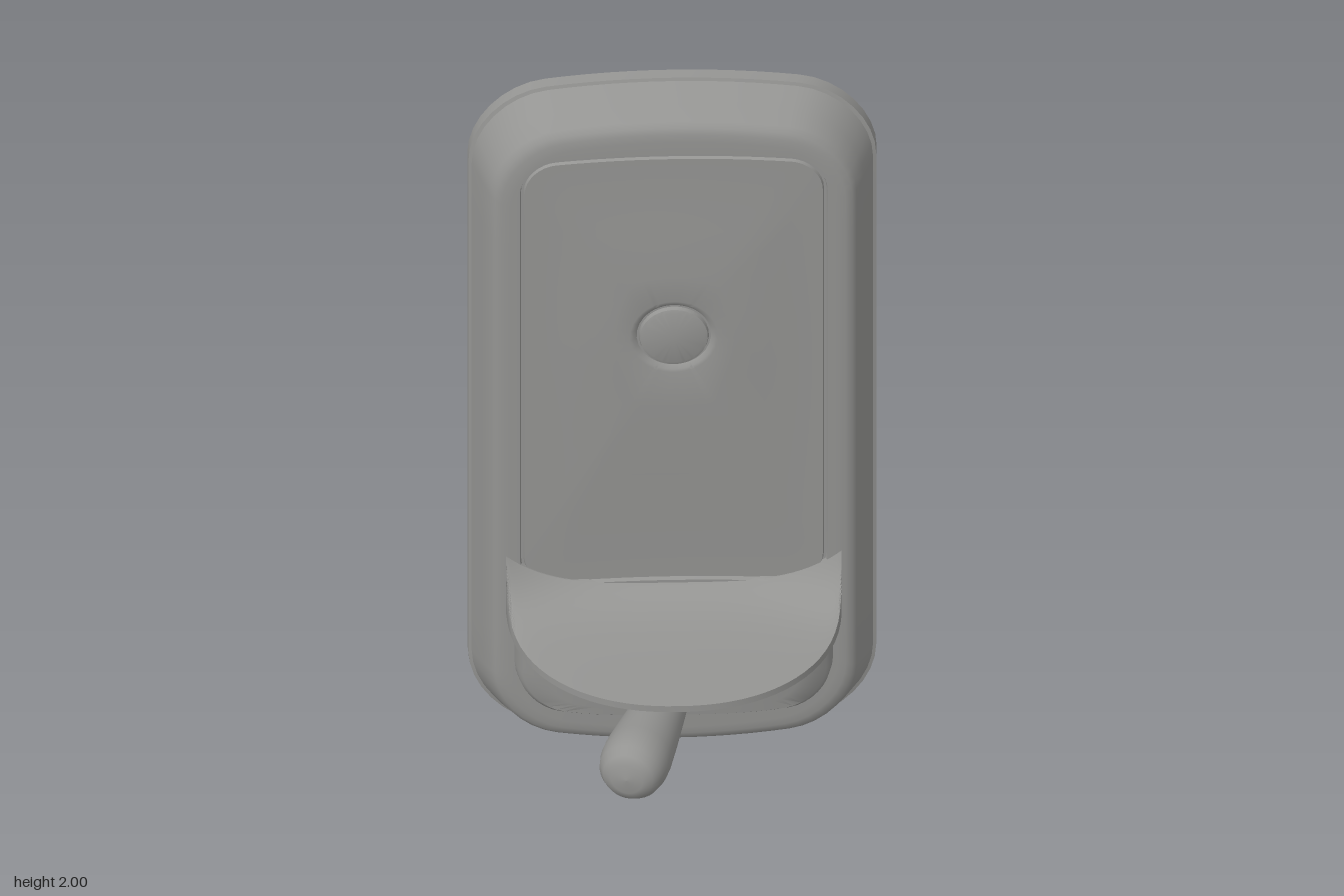
import * as THREE from 'three';
import { toCreasedNormals } from 'three/addons/utils/BufferGeometryUtils.js';

const grey = new THREE.MeshStandardMaterial({ color: 0x949492 });
const V = (x, y, z) => new THREE.Vector3(x, y, z);

// Skin closed rings of equal point count, counter-clockwise about the travel direction
function loft(rings, crease = 0.6) {
  const n = rings[0].length, pos = [], idx = [];
  rings.forEach(r => r.forEach(p => pos.push(p.x, p.y, p.z)));
  for (let j = 0; j < rings.length - 1; j++) {
    for (let i = 0; i < n; i++) {
      const k = (i + 1) % n, a = j * n, b = a + n;
      idx.push(a + i, a + k, b + k, a + i, b + k, b + i);
    }
  }
  const g = new THREE.BufferGeometry();
  g.setAttribute('position', new THREE.Float32BufferAttribute(pos, 3));
  g.setIndex(idx);
  return toCreasedNormals(g, crease);
}

// Rounded rectangle whose top and bottom edges bow outwards
function outline(w, h, r, bowTop, bowBottom, cy, z) {
  const base = [], pts = [];
  const corners = [[1, 1], [-1, 1], [-1, -1], [1, -1]];
  corners.forEach(([sx, sy], c) => {
    for (let i = 0; i <= 8; i++) {
      const a = (c + i / 8) * Math.PI / 2;
      base.push([sx * (w - r) + r * Math.cos(a), sy * (h - r) + r * Math.sin(a)]);
    }
  });
  base.forEach((p, i) => {
    pts.push(p);
    if (i % 9 === 8) {
      const q = base[(i + 1) % base.length];
      for (let k = 1; k < 12; k++) {
        pts.push([p[0] + (q[0] - p[0]) * k / 12, p[1] + (q[1] - p[1]) * k / 12]);
      }
    }
  });
  return pts.map(([x, y]) => {
    const bow = (y > 0 ? bowTop : -bowBottom) * Math.abs(y) / h * (1 - (x / w) ** 2);
    return V(x, cy + y + bow, z);
  });
}

function bodyGeometry() {
  const outer = (inset, z) =>
    outline(0.5 - inset, 0.945 - inset, 0.19 - inset * 0.5, 0.055, 0.055, 1, z);
  const panel = (inset, z) =>
    outline(0.376 - inset, 0.65 - inset, 0.09 - inset, 0.022, -0.018, 1.185, z);
  const edge = panel(0.012, -0.203);
  const circle = (r, z) => edge.map(p => {
    const a = Math.atan2(p.y - 1.31, p.x);
    return V(r * Math.cos(a), 1.31 + r * Math.sin(a), z);
  });
  const rings = [
    outer(0, -0.36).map(() => V(0, 1, -0.36)),
    outer(0, -0.36), outer(0.002, -0.33), outer(0.01, -0.327),
    outer(0.035, -0.262), outer(0.053, -0.22), outer(0.064, -0.207),
    outer(0.08, -0.202), outer(0.1, -0.2),
    panel(0, -0.2), panel(0.003, -0.211), panel(0.009, -0.211), edge,
  ];
  // gently domed panel running into the round button
  const rim = circle(0.108, -0.187);
  for (let i = 1; i <= 6; i++) {
    const t = i / 6;
    rings.push(edge.map((p, k) => {
      const q = p.clone().lerp(rim[k], t);
      q.z = -0.203 + 0.016 * t * t * (3 - 2 * t);
      return q;
    }));
  }
  rings.push(circle(0.1, -0.189), circle(0.091, -0.197), circle(0.086, -0.197),
    circle(0.083, -0.187), circle(0.075, -0.184), circle(0, -0.182));
  return loft(rings);
}

// Box under the shelf, with a front that sweeps back at the sides
function housingGeometry() {
  const ring = (inset, z) => outline(0.39 - inset, 0.175 - inset, 0.1, 0, 0.015, 0.385, z)
    .map(p => V(p.x, Math.min(p.y, 0.475), p.z));
  const front = p => -0.1 + 0.1 * (p.y - 0.21) - 0.05 * (Math.abs(p.x) / 0.39) ** 4;
  const face = ring(0.02, 0);
  const rings = [ring(0, -0.22), ring(0.002, -0.19)];
  rings.push(ring(0.01, 0).map(p => V(p.x, p.y, front(p) - 0.012)));
  for (let i = 0; i <= 6; i++) {
    rings.push(face.map(p => {
      const q = p.clone().lerp(V(0, 0.36, 0), i / 6);
      q.z = front(q);
      return q;
    }));
  }
  return loft(rings, 0.7);
}

// Half-round shelf that curves up into the panel, built from slices along x
function shelfGeometry() {
  const rings = [], slices = 40, steps = 14;
  for (let i = 0; i <= slices; i++) {
    const x = -0.41 * Math.cos(Math.PI * i / slices);
    const s = Math.min(Math.abs(x / 0.41), 1);
    const depth = 0.425 * Math.max(0, 1 - s ** 2.2) ** (1 / 2.2);
    const rise = 0.045 + 0.09 * s ** 4;
    const top = [], under = [];
    for (let k = 0; k <= steps; k++) {
      const v = (k / steps) ** 1.5, d = depth * v;
      top.push(V(x, 0.49 + 0.01 * (1 - v) + rise * Math.exp(-d / 0.06), -0.2 + d));
      under.unshift(V(x, 0.455 + 0.017 * v, -0.2 + d));
    }
    rings.push([V(x, top[0].y, -0.23), ...top, ...under, V(x, 0.455, -0.23)]);
  }
  const cap = r => r.map(() => V(r[0].x, 0.54, -0.215));
  return loft([cap(rings[0]), ...rings, cap(rings[slices])], 0.7);
}

function handleGeometry() {
  const profile = [[0, 0], [0.032, 0], [0.032, 0.025], [0.046, 0.03], [0.052, 0.06],
    [0.064, 0.13], [0.077, 0.25], [0.085, 0.34], [0.085, 0.38], [0.078, 0.415],
    [0.063, 0.438], [0.04, 0.45], [0, 0.454]].map(([r, y]) => new THREE.Vector2(r, y));
  return new THREE.LatheGeometry(profile, 32);
}

export function createModel() {
  const group = new THREE.Group();
  const add = (name, geometry) => {
    const mesh = new THREE.Mesh(geometry, grey);
    mesh.name = name;
    group.add(mesh);
    return mesh;
  };
  grey.name = 'grey';
  add('bodyWithPanelAndButton', bodyGeometry());
  add('housing', housingGeometry());
  add('shelf', shelfGeometry());

  // handle leaning towards the model's right
  const handle = add('handle', handleGeometry());
  handle.position.set(0, 0.335, -0.092);
  handle.quaternion.setFromUnitVectors(V(0, 1, 0), V(-0.13, 0.018, 0.43).normalize());
  return group;
}
